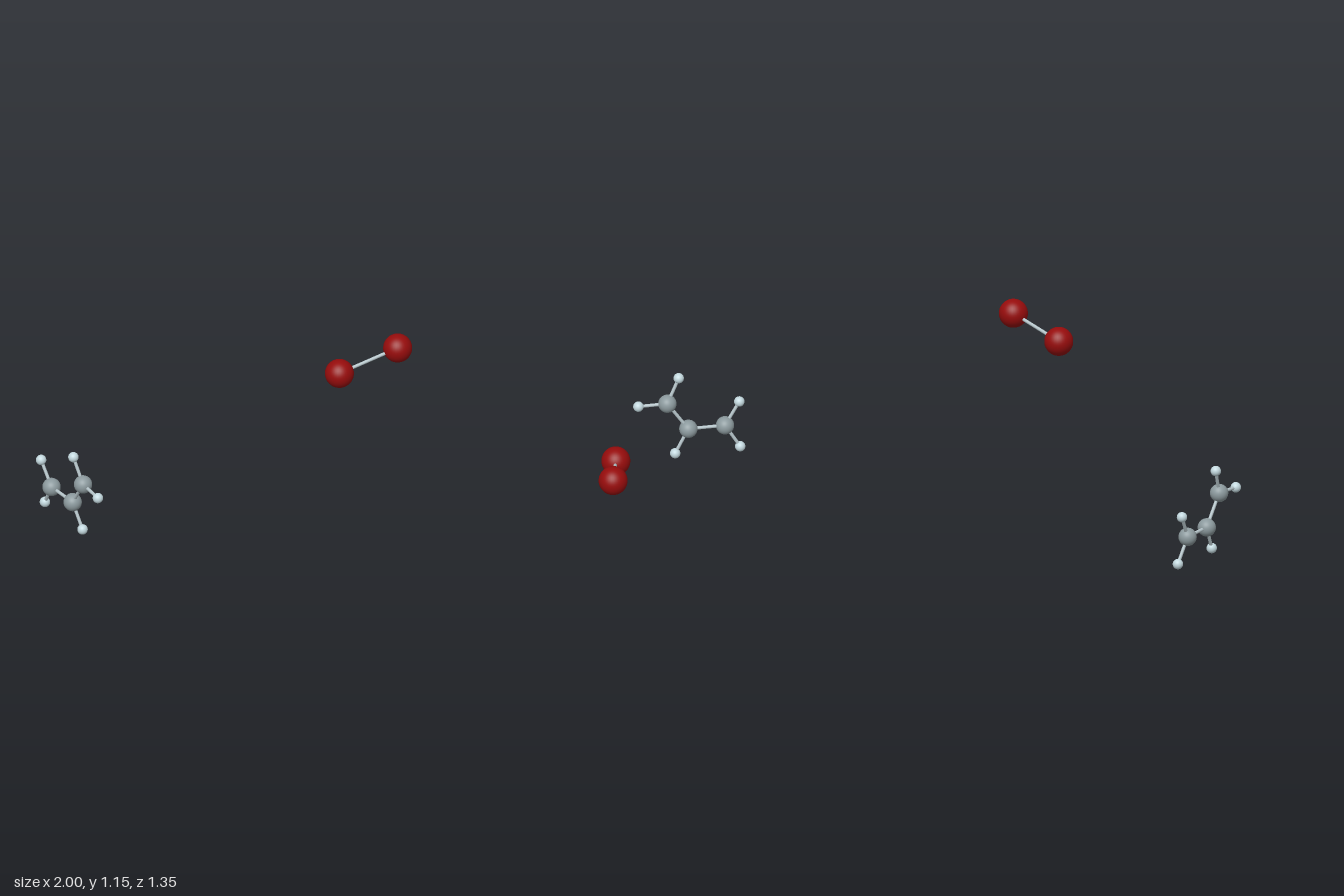
import * as THREE from 'three';

const mat = (color) => new THREE.MeshStandardMaterial({ color });

export function createModel() {
  const model = new THREE.Group();
  const ballGeometry = new THREE.SphereGeometry(1, 32, 24);
  const bondMaterial = mat(0xb4c3c8);
  const kinds = {
    red: { radius: 0.09, material: mat(0x960c0c) },
    grey: { radius: 0.057, material: mat(0x8c9a9e) },
    pale: { radius: 0.0325, material: mat(0xc3d8de) },
  };

  // Atoms: kind and centre
  const atoms = {
    redInner: ['red', 0.535, 0.967, 0.483],
    redOuter: ['red', 0.908, 1.066, 0.588],
    carbonTop: ['grey', -0.945, 0.386, -0.191],
    carbonMiddle: ['grey', -0.927, 0.196, -0.32],
    carbonBack: ['grey', -0.915, 0.196, -0.55],
    hydrogenTop: ['pale', -0.962, 0.551, -0.267],
    hydrogenFront: ['pale', -0.967, 0.377, -0.012],
    hydrogenBottom: ['pale', -0.916, 0.037, -0.234],
    hydrogenBackUpper: ['pale', -0.925, 0.35, -0.643],
    hydrogenBackLower: ['pale', -0.896, 0.042, -0.642],
  };
  const centre = {};
  for (const [name, [kind, x, y, z]] of Object.entries(atoms)) {
    const ball = new THREE.Mesh(ballGeometry, kinds[kind].material);
    ball.name = name;
    ball.position.set(x, y, z);
    ball.scale.setScalar(kinds[kind].radius);
    centre[name] = ball.position;
    model.add(ball);
  }

  // Bonds: thin rods between atom centres
  const up = new THREE.Vector3(0, 1, 0);
  const bonds = [
    ['redInner', 'redOuter'],
    ['carbonTop', 'carbonMiddle'],
    ['carbonMiddle', 'carbonBack'],
    ['carbonTop', 'hydrogenTop'],
    ['carbonTop', 'hydrogenFront'],
    ['carbonMiddle', 'hydrogenBottom'],
    ['carbonBack', 'hydrogenBackUpper'],
    ['carbonBack', 'hydrogenBackLower'],
  ];
  for (const [from, to] of bonds) {
    const a = centre[from], b = centre[to];
    const rod = new THREE.Mesh(new THREE.CylinderGeometry(0.0105, 0.0105, a.distanceTo(b), 16), bondMaterial);
    rod.name = `bond ${from} to ${to}`;
    rod.position.lerpVectors(a, b, 0.5);
    rod.quaternion.setFromUnitVectors(up, b.clone().sub(a).normalize());
    model.add(rod);
  }
  return model;
}
